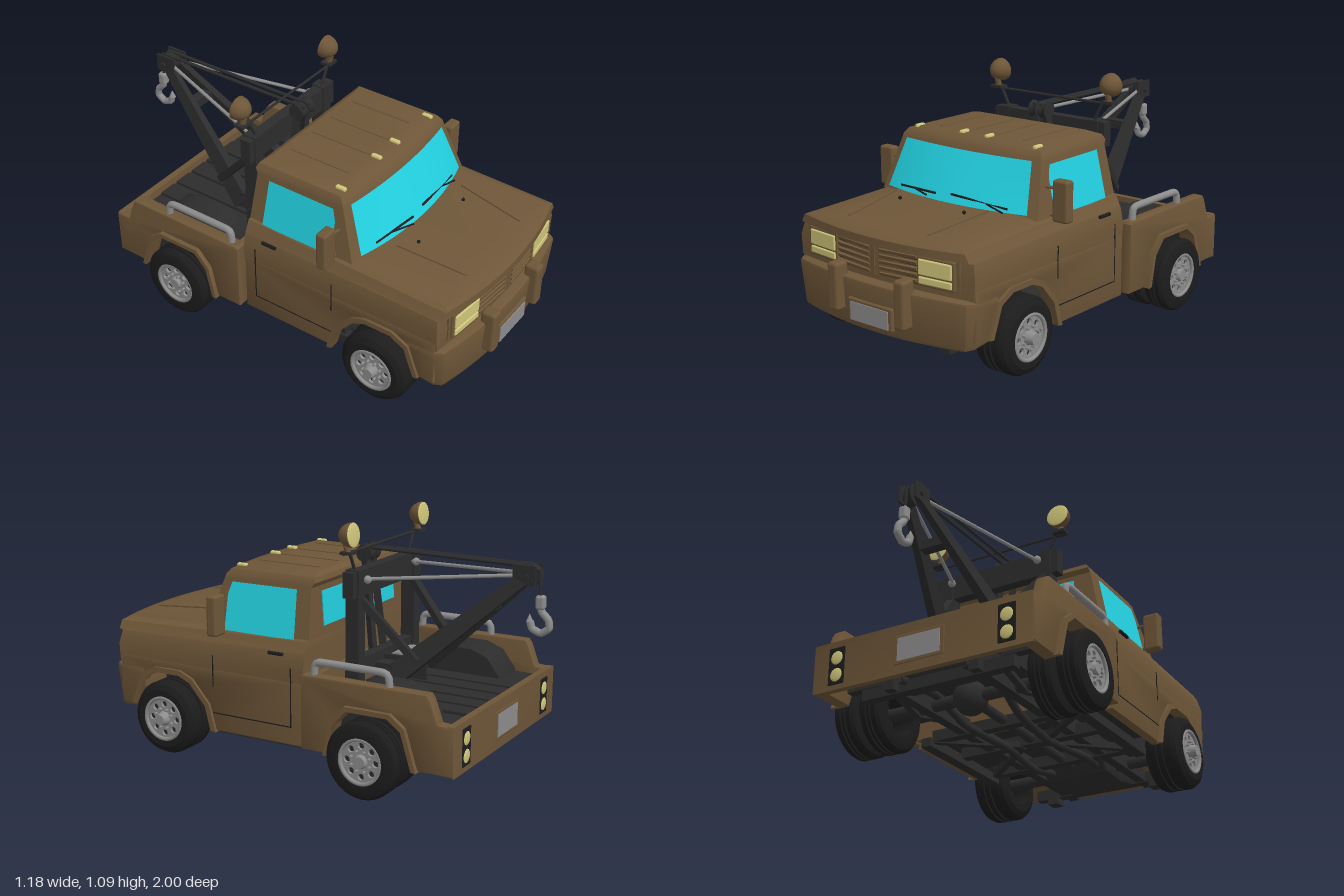
import * as THREE from 'three';
import { toCreasedNormals } from 'three/addons/utils/BufferGeometryUtils.js';
import { RoundedBoxGeometry } from 'three/addons/geometries/RoundedBoxGeometry.js';
import { ParametricGeometry } from 'three/addons/geometries/ParametricGeometry.js';

const mat = (color, side = THREE.FrontSide) => new THREE.MeshStandardMaterial({ color, side });
const brown = mat(0x6e5638), dark = mat(0x2c2c2c), black = mat(0x1c1c1c), grey = mat(0x8c8c8c);
const glass = mat(0x22d0e0, THREE.DoubleSide), lamp = mat(0xcfc67a);
const V = (x, y, z) => new THREE.Vector3(x, y, z);
const SIDES = [1, -1];

export function createModel() {
  const root = new THREE.Group();
  const add = (name, geo, m, x = 0, y = 0, z = 0, rx = 0, ry = 0, rz = 0) => {
    const mesh = new THREE.Mesh(geo, m);
    mesh.name = name;
    mesh.position.set(x, y, z);
    mesh.rotation.set(rx, ry, rz);
    root.add(mesh);
    return mesh;
  };
  // box given by size and centre; soft gives rounded edges
  const box = (name, m, w, h, d, x, y, z, rx, ry, rz) => add(name, new THREE.BoxGeometry(w, h, d), m, x, y, z, rx, ry, rz);
  const soft = (name, m, w, h, d, r, x, y, z, rx, ry, rz) => add(name, new RoundedBoxGeometry(w, h, d, 2, r), m, x, y, z, rx, ry, rz);
  // rod (round) or beam (square) between two points
  const rod = (name, m, a, b, r) => {
    const mesh = add(name, new THREE.CylinderGeometry(r, r, a.distanceTo(b), 10), m, ...a.clone().lerp(b, 0.5).toArray());
    mesh.quaternion.setFromUnitVectors(V(0, 1, 0), b.clone().sub(a).normalize());
  };
  const beam = (name, m, a, b, w, h) => {
    const mesh = box(name, m, w, h, a.distanceTo(b), ...a.clone().lerp(b, 0.5).toArray());
    mesh.lookAt(b);
  };
  const tube = (name, m, pts, r) =>
    add(name, new THREE.TubeGeometry(new THREE.CatmullRomCurve3(pts, false, 'catmullrom', 0.2), 32, r, 10), m);
  const shapeOf = pts => new THREE.Shape(pts.map(p => new THREE.Vector2(...p)));
  // side profile of (z, y) points, extruded between x0 and x1
  const slab = (name, m, pts, x0, x1, bevel = 0) => {
    const w = Math.abs(x1 - x0), g = new THREE.ExtrudeGeometry(shapeOf(pts), {
      depth: w - 2 * bevel, bevelEnabled: bevel > 0, bevelSize: bevel, bevelThickness: bevel, bevelOffset: -bevel, bevelSegments: 2 });
    g.rotateY(-Math.PI / 2).translate(Math.max(x0, x1) - bevel, 0, 0);
    return add(name, toCreasedNormals(g, 0.6), m);
  };
  const wheelX = (name, m, geo, x, y, z) => add(name, geo, m, x, y, z, 0, 0, -Math.PI / 2);

  // plan ring with a curved front, joined upward into a capped skin
  const ring = (hw, zf, zb, bulge, y) => {
    const pts = [[-hw, zb]];
    for (let i = -5; i <= 5; i++) pts.push([hw * i / 5, zf - bulge * (i / 5) ** 2]);
    pts.push([hw, zb]);
    return pts.map(([x, z]) => V(x, typeof y === 'number' ? y : y(z), z));
  };
  const loft = (name, m, rings) => {
    const n = rings[0].length, top = rings[rings.length - 1], out = [];
    const tri = (...v) => v.forEach(p => out.push(p.x, p.y, p.z));
    for (let r = 0; r + 1 < rings.length; r++) for (let i = 0; i < n; i++) {
      const j = (i + 1) % n, [p, q] = [rings[r], rings[r + 1]];
      tri(p[i], p[j], q[j]);
      tri(p[i], q[j], q[i]);
    }
    const c = top.reduce((s, p) => s.add(p), V(0, 0, 0)).divideScalar(n);
    top.forEach((p, i) => tri(c, p, top[(i + 1) % n]));
    const g = new THREE.BufferGeometry();
    g.setAttribute('position', new THREE.Float32BufferAttribute(out, 3));
    add(name, toCreasedNormals(g, 0.5), m);
  };

  // lower body panels with front wheel arches, shoulders and bonnet, cab top
  const frontArch = [[0.38, 0.14], [0.41, 0.25], [0.49, 0.34], [0.55, 0.365], [0.67, 0.365], [0.74, 0.33], [0.79, 0.2]];
  for (const s of SIDES) slab('lowerBody', brown, [[-0.09, 0.14], ...frontArch, [0.88, 0.2], [0.88, 0.42], [-0.09, 0.42]], s * 0.44, s * 0.485, 0.01);
  box('cabBack', brown, 0.9, 0.26, 0.02, 0, 0.28, -0.078);
  box('innerFender', dark, 0.92, 0.02, 0.96, 0, 0.4, 0.4);
  const rise = (front, back) => z => THREE.MathUtils.lerp(back, front, THREE.MathUtils.clamp((z - 0.45) / 0.5, 0, 1));
  loft('bonnetAndShoulders', brown, [
    ring(0.48, 0.925, -0.09, 0.04, 0.38), ring(0.485, 0.925, -0.09, 0.04, 0.47), ring(0.47, 0.925, -0.09, 0.05, rise(0.525, 0.54)),
    ring(0.465, 0.957, -0.09, 0.06, rise(0.53, 0.55)), ring(0.445, 0.957, -0.09, 0.06, rise(0.563, 0.592)),
    ring(0.41, 0.94, -0.085, 0.06, rise(0.575, 0.61)), ring(0.3, 0.89, -0.08, 0.04, rise(0.58, 0.633))]);
  loft('cab', brown, [ring(0.435, 0.51, -0.09, 0.07, 0.59), ring(0.389, 0.392, -0.076, 0.03, 0.81), ring(0.385, 0.385, -0.088, 0.03, 0.83),
    ring(0.37, 0.365, -0.08, 0.03, 0.852), ring(0.3, 0.335, -0.055, 0.02, 0.866)]);
  add('windscreen', new ParametricGeometry((u, v, p) => {
    const s = (u * 2 - 1) * 0.9, t = 0.07 + v * 0.86;
    p.set(s * (0.435 - 0.05 * t), 0.59 + 0.24 * t + 0.002, 0.517 - 0.125 * t - s * s * (0.07 - 0.04 * t));
  }, 20, 4), glass);
  const win = new THREE.ShapeGeometry(shapeOf([[0.335, 0.59], [0.335, 0.745], [0.318, 0.798], [-0.01, 0.8], [-0.02, 0.59]]));
  const winPos = win.attributes.position;
  for (let i = 0; i < winPos.count; i++) {
    const z = winPos.getX(i), y = winPos.getY(i);
    winPos.setXYZ(i, 0.44 - 0.05 * (y - 0.59) / 0.24, y, z);
  }
  win.computeVertexNormals();
  box('rearWindow', glass, 0.62, 0.15, 0.008, 0, 0.71, -0.083, 0.06);
  for (const x of [-0.23, -0.07, 0.07, 0.23]) box('roofRib', brown, 0.012, 0.006, 0.3, x, 0.866, 0.13);
  for (const x of [-0.33, -0.07, 0.07, 0.33])
    soft('roofMarker', lamp, 0.022, 0.02, 0.05, 0.008, x, Math.abs(x) > 0.2 ? 0.859 : 0.868, 0.31);

  // front face: grille, headlamps, wipers
  for (const s of SIDES) {
    box('grilleBack', brown, 0.42, 0.13, 0.02, s * 0.21, 0.467, 0.908, 0, s * 0.09);
    for (let i = 0; i < 5; i++) {
      box('grilleSlat', brown, 0.19, 0.013, 0.024, s * 0.122, 0.418 + i * 0.0245, 0.922, 0.3, s * 0.07);
      box('grilleGap', black, 0.185, 0.004, 0.02, s * 0.122, 0.408 + i * 0.0245, 0.917, 0, s * 0.07);
    }
    soft('headlampFrame', brown, 0.185, 0.125, 0.02, 0.008, s * 0.312, 0.466, 0.91, 0, s * 0.1);
    for (const [y, h] of [[0.484, 0.065], [0.43, 0.03]]) soft('headlamp', lamp, 0.16, h, 0.02, 0.006, s * 0.312, y, 0.917, 0, s * 0.1);
    soft('bumperGuard', brown, 0.058, 0.205, 0.07, 0.015, s * 0.185, 0.327, 0.965);
    box('bonnetCrease', brown, 0.008, 0.006, 0.32, s * 0.24, 0.608, 0.7, 0.11, s * -0.12);
    add('washerJet', new THREE.SphereGeometry(0.008, 8, 6), black, s * 0.18, 0.618, 0.6);
  }
  for (const [a, b, arm] of [[V(-0.07, 0.637, 0.502), V(-0.3, 0.627, 0.466), V(-0.1, 0.628, 0.525)],
    [V(0.015, 0.645, 0.496), V(0.3, 0.622, 0.468), V(0.29, 0.61, 0.49)]]) {
    rod('wiper', black, a, b, 0.005);
    rod('wiperArm', black, a.clone().lerp(b, 0.6), arm, 0.004);
  }

  // bumper
  const edge = [];
  for (let i = -8; i <= 8; i++) edge.push([0.465 * i / 8, 0.97 - 0.055 * (i / 8) ** 2]);
  const bump = new THREE.ExtrudeGeometry(shapeOf([[-0.488, 0.75], [-0.488, 0.88], ...edge, [0.488, 0.88], [0.488, 0.75]]),
    { depth: 0.17, bevelSize: 0.012, bevelThickness: 0.015, bevelOffset: -0.012, bevelSegments: 2 });
  bump.rotateX(Math.PI / 2).translate(0, 0.36, 0);
  const bp = bump.attributes.position;
  for (let i = 0; i < bp.count; i++) { // tucked in towards the bottom
    const k = (0.375 - bp.getY(i)) / 0.2;
    bp.setXYZ(i, bp.getX(i) * (1 - 0.04 * k), bp.getY(i) + 0.03 * k * (0.5 - (bp.getZ(i) - 0.74) * 4), bp.getZ(i) * (1 - 0.012 * k));
  }
  add('bumper', toCreasedNormals(bump, 0.6), brown);
  soft('plateHolder', brown, 0.25, 0.1, 0.02, 0.008, 0, 0.243, 0.964);
  box('frontPlate', grey, 0.21, 0.078, 0.012, 0, 0.24, 0.972);

  // windows, mirrors, doors and arch lips on both sides
  const lip = (name, pts, x0, x1, grow, cz, cy) => slab(name, brown,
    [...pts, ...pts.slice().reverse().map(([z, y]) => [cz + (z - cz) * grow, cy + (y - cy) * grow])], x0, x1);
  const rearArch = [[-0.24, 0.15], [-0.27, 0.29], [-0.33, 0.355], [-0.52, 0.355], [-0.58, 0.31], [-0.63, 0.15]];
  for (const s of SIDES) {
    add('sideWindow', win, glass).scale.x = s;
    soft('mirror', brown, 0.078, 0.178, 0.05, 0.012, s * 0.488, 0.664, 0.345);
    for (const y of [0.6, 0.715]) rod('mirrorArm', brown, V(s * 0.41, y, 0.355), V(s * 0.47, y, 0.35), 0.007);
    rod('doorHandle', black, V(s * 0.483, 0.535, 0.08), V(s * 0.483, 0.535, 0.01), 0.008);
    for (const [z, y, h, d] of [[-0.03, 0.35, 0.26, 0.005], [0.37, 0.41, 0.14, 0.005], [0.17, 0.222, 0.005, 0.4]])
      box('doorSeam', black, 0.006, h, d, s * 0.483, y, z);
    lip('frontArchLip', frontArch, s * 0.475, s * 0.498, 1.12, 0.6, 0.17);
  }

  // rear bed
  const housingTop = [[-0.22, 0.2], [-0.23, 0.34], [-0.29, 0.42], [-0.36, 0.45], [-0.5, 0.45], [-0.58, 0.42], [-0.64, 0.34], [-0.65, 0.2]];
  for (const s of SIDES) {
    slab('bedSide', brown, [[-0.1, 0.15], ...rearArch, [-0.806, 0.15], [-0.806, 0.355], [-0.735, 0.36], [-0.7, 0.455],
      [-0.685, 0.475], [-0.11, 0.475], [-0.1, 0.465]], s * 0.46, s * 0.52, 0.008);
    lip('rearArchLip', rearArch, s * 0.51, s * 0.542, 1.11, -0.43, 0.17);
    slab('wheelHousing', dark, [...housingTop, [-0.61, 0.2], [-0.56, 0.37], [-0.31, 0.37], [-0.26, 0.2]], s * 0.28, s * 0.46);
    slab('wheelHousingInner', dark, housingTop, s * 0.28, s * 0.3);
    tube('bedRail', grey, [V(s * 0.49, 0.47, -0.15), V(s * 0.49, 0.515, -0.155), V(s * 0.49, 0.53, -0.18), V(s * 0.49, 0.53, -0.47),
      V(s * 0.49, 0.515, -0.5), V(s * 0.49, 0.47, -0.505)], 0.016);
    soft('tailLampPanel', black, 0.085, 0.17, 0.02, 0.008, s * 0.4, 0.25, -0.799);
    for (const y of [0.21, 0.285]) add('tailLamp', new THREE.SphereGeometry(0.03, 16, 10).scale(1, 1, 0.2), lamp, s * 0.4, y, -0.808);
  }
  slab('tailgate', brown, [[-0.77, 0.15], [-0.775, 0.36], [-0.807, 0.36], [-0.807, 0.145]], -0.515, 0.515, 0.005);
  soft('rearPlateHolder', brown, 0.24, 0.13, 0.016, 0.006, 0, 0.25, -0.801);
  box('rearPlate', grey, 0.2, 0.1, 0.012, 0, 0.25, -0.806);
  box('bedFront', brown, 0.96, 0.3, 0.03, 0, 0.31, -0.125);
  box('bedFloor', dark, 0.56, 0.04, 0.63, 0, 0.305, -0.455);
  box('bedFloorRear', dark, 0.92, 0.04, 0.13, 0, 0.305, -0.705);
  for (let i = -2; i <= 2; i++) box('floorPlank', dark, 0.09, 0.015, 0.62, i * 0.11, 0.33, -0.455);

  // wheels: front single, rear twin
  const tyreProfile = [[0.095, -0.5], [0.13, -0.5], [0.155, -0.42], [0.166, -0.3], [0.166, -0.13], [0.157, -0.12], [0.157, -0.06], [0.166, -0.05],
    [0.166, 0.05], [0.157, 0.06], [0.157, 0.12], [0.166, 0.13], [0.166, 0.3], [0.155, 0.42], [0.13, 0.5], [0.102, 0.5], [0.096, 0.35], [0.095, -0.5]];
  const wheel = (x0, x1, s, z) => {
    const w = x1 - x0, g = new THREE.LatheGeometry(tyreProfile.map(([r, t]) => new THREE.Vector2(r, t * w)), 36);
    wheelX('tyre', black, toCreasedNormals(g, 0.5), s * (x0 + x1) / 2, 0.168, z).rotation.z = -s * Math.PI / 2;
  };
  const disc = new THREE.Shape().absarc(0, 0, 0.097, 0, Math.PI * 2);
  for (let i = 0; i < 8; i++) {
    const a = i * Math.PI / 4;
    disc.holes.push(new THREE.Path().absarc(0.066 * Math.cos(a), 0.066 * Math.sin(a), 0.014, 0, Math.PI * 2, true));
  }
  const discGeo = new THREE.ExtrudeGeometry(disc, { depth: 0.012, bevelEnabled: false, curveSegments: 16 });
  for (const s of SIDES) {
    wheel(0.365, 0.537, s, 0.61);
    wheel(0.348, 0.46, s, -0.42);
    wheel(0.475, 0.588, s, -0.42);
    for (const [z, x, hub] of [[0.61, 0.515, 0.563], [-0.42, 0.56, 0.588]]) {
      add('rim', discGeo, grey, s * x, 0.168, z, 0, s * Math.PI / 2);
      wheelX('rimBack', dark, new THREE.CylinderGeometry(0.096, 0.096, 0.05, 28), s * (x - 0.03), 0.168, z);
      add('rimEdge', new THREE.TorusGeometry(0.095, 0.009, 8, 32), grey, s * (x + 0.018), 0.168, z, 0, Math.PI / 2);
      const cap = new THREE.CylinderGeometry(0.024, 0.036, hub - x, 18);
      wheelX('hub', grey, cap, s * (x + hub) / 2, 0.168, z).rotation.z = -s * Math.PI / 2;
      for (let i = 0; i < 8; i++) wheelX('lugNut', grey, new THREE.CylinderGeometry(0.006, 0.006, 0.02, 6), s * (x + 0.018),
        0.168 + 0.045 * Math.sin(i * Math.PI / 4 + 0.39), z + 0.045 * Math.cos(i * Math.PI / 4 + 0.39));
    }

    // chassis on each side
    beam('chassisRail', dark, V(s * 0.2, 0.17, 0.87), V(s * 0.2, 0.17, -0.72), 0.045, 0.07);
    beam('sillRail', dark, V(s * 0.38, 0.125, 0.4), V(s * 0.38, 0.125, -0.18), 0.05, 0.04);
    box('frontBracket', dark, 0.055, 0.08, 0.06, s * 0.27, 0.14, 0.8);
    beam('leafSpring', dark, V(s * 0.26, 0.2, -0.18), V(s * 0.26, 0.14, -0.42), 0.03, 0.02);
    beam('leafSpring', dark, V(s * 0.26, 0.14, -0.42), V(s * 0.26, 0.2, -0.66), 0.03, 0.02);
    tube('exhaust', dark, [V(s * 0.08, 0.15, 0.6), V(s * 0.14, 0.125, 0.35), V(s * 0.1, 0.12, 0.05), V(s * 0.13, 0.13, -0.25),
      V(s * 0.15, 0.2, -0.45), V(s * 0.15, 0.17, -0.72)], 0.018);
    beam('chassisBrace', dark, V(s * 0.36, 0.14, 0.37), V(s * 0.05, 0.14, 0.1), 0.03, 0.03);
    beam('chassisBrace', dark, V(s * 0.36, 0.14, -0.15), V(s * 0.05, 0.14, 0.1), 0.03, 0.03);
  }

  // underbody
  box('engineBay', dark, 0.66, 0.2, 0.46, 0, 0.3, 0.64);
  box('floorPan', dark, 0.9, 0.03, 0.5, 0, 0.22, 0.17);
  slab('enginePan', dark, [[0.86, 0.19], [0.8, 0.13], [0.66, 0.1], [0.5, 0.11], [0.44, 0.19]], -0.16, 0.16, 0.02);
  for (const z of [0.8, 0.38, 0.1, -0.14, -0.66]) box('crossMember', dark, 0.72, 0.05, 0.045, 0, 0.155, z);
  for (const z of [0.61, -0.42]) rod('axle', dark, V(-0.48, 0.168, z), V(0.48, 0.168, z), 0.028);
  add('differential', new THREE.SphereGeometry(0.075, 16, 12), dark, 0, 0.165, -0.42);
  rod('driveShaft', dark, V(0, 0.15, 0.45), V(0, 0.165, -0.4), 0.022);
  wheelX('fuelTank', dark, new THREE.CylinderGeometry(0.07, 0.07, 0.4, 18), 0, 0.22, -0.6);

  // tow crane frame, boom, spot lamps and winch
  for (const s of SIDES) {
    box('cranePost', dark, 0.055, 0.58, 0.065, s * 0.25, 0.59, -0.207);
    beam('craneBrace', dark, V(s * 0.24, 0.76, -0.22), V(s * 0.18, 0.5, -0.46), 0.035, 0.03);
    const leg = new THREE.CylinderGeometry(0.032, 0.06, 0.74, 4, 1).rotateY(Math.PI / 4).scale(0.55, 1, 1.1); // tapers to the tip
    const from = V(s * 0.17, 0.41, -0.34), to = V(s * 0.025, 0.885, -0.89);
    add('boomLeg', toCreasedNormals(leg, 0.5), dark, ...from.clone().lerp(to, 0.5).toArray())
      .quaternion.setFromUnitVectors(V(0, 1, 0), to.clone().sub(from).normalize());
    beam('mastLeg', dark, V(s * 0.03, 0.91, -0.13), V(s * 0.05, 0.4, -0.19), 0.025, 0.03);
    rod('tensionRod', grey, V(s * 0.22, 0.835, -0.23), V(s * 0.025, 0.885, -0.86), 0.008);
    add('rodEnd', new THREE.SphereGeometry(0.018, 10, 8), grey, s * 0.22, 0.835, -0.25);
    rod('lampStrut', dark, V(s * 0.24, 0.87, -0.2), V(s * 0.285, 0.955, -0.2), 0.007);
    box('lampFoot', dark, 0.06, 0.012, 0.05, s * 0.314, 0.962, -0.21);
    rod('lampStem', brown, V(s * 0.314, 0.96, -0.21), V(s * 0.314, 1.0, -0.2), 0.014);
    add('spotLampShell', new THREE.SphereGeometry(0.053, 20, 10, 0, Math.PI * 2, 0, Math.PI / 2).scale(1, 1.25, 1),
      brown, s * 0.314, 1.038, -0.235, Math.PI / 2 + 0.1);
    add('spotLampLens', new THREE.SphereGeometry(0.052, 20, 10).scale(1, 1, 0.12), lamp, s * 0.314, 1.038, -0.235, 0.1);
    wheelX('winchDrum', grey, new THREE.CylinderGeometry(0.05, 0.05, 0.065, 18), s * 0.04, 0.44, -0.32);
    for (let i = 0; i < 5; i++) add('winchCable', new THREE.TorusGeometry(0.05, 0.007, 6, 20), grey, s * (0.014 + i * 0.013), 0.44, -0.32, 0, Math.PI / 2);
    box('winchCheek', dark, 0.015, 0.17, 0.12, s * 0.085, 0.4, -0.32);
    box('winchMotor', dark, 0.07, 0.08, 0.08, s * 0.15, 0.43, -0.31);
    rod('topStay', dark, V(s * 0.018, 0.93, -0.1), V(s * 0.018, 0.925, -0.9), 0.008);
    sheave(s * 0.025, 0.905, -0.13, 0.038);
    box('pulleyCheek', dark, 0.01, 0.08, 0.1, s * 0.04, 0.89, -0.88);
  }
  box('craneTopBeam', dark, 0.62, 0.11, 0.05, 0, 0.82, -0.205);
  box('craneLowBeam', dark, 0.56, 0.06, 0.05, 0, 0.46, -0.205);
  rod('lampBar', dark, V(-0.34, 0.957, -0.2), V(0.34, 0.957, -0.2), 0.006);
  box('boomTie', dark, 0.13, 0.04, 0.05, 0, 0.74, -0.72);
  sheave(0, 0.885, -0.89, 0.048);
  rod('pulleyPin', dark, V(-0.055, 0.885, -0.89), V(0.055, 0.885, -0.89), 0.012);
  function sheave(x, y, z, r) {
    const profile = [[0, -0.02], [r, -0.02], [r * 0.8, 0], [r, 0.02], [0, 0.02]].map(p => new THREE.Vector2(...p));
    wheelX('pulley', dark, toCreasedNormals(new THREE.LatheGeometry(profile, 20), 0.5), x, y, z);
  }

  // hanging hook
  rod('hookCable', dark, V(0, 0.91, -0.932), V(0, 0.78, -0.938), 0.007);
  soft('hookBlock', grey, 0.04, 0.06, 0.04, 0.012, 0, 0.775, -0.94);
  tube('hook', grey, [V(0, 0.76, -0.94), V(0, 0.735, -0.945), V(0, 0.705, -0.975), V(0, 0.67, -0.98), V(0, 0.645, -0.945),
    V(0, 0.66, -0.905), V(0, 0.69, -0.895)], 0.016);
  add('hookTip', new THREE.ConeGeometry(0.016, 0.035, 10), grey, 0, 0.705, -0.893);
  return root;
}
